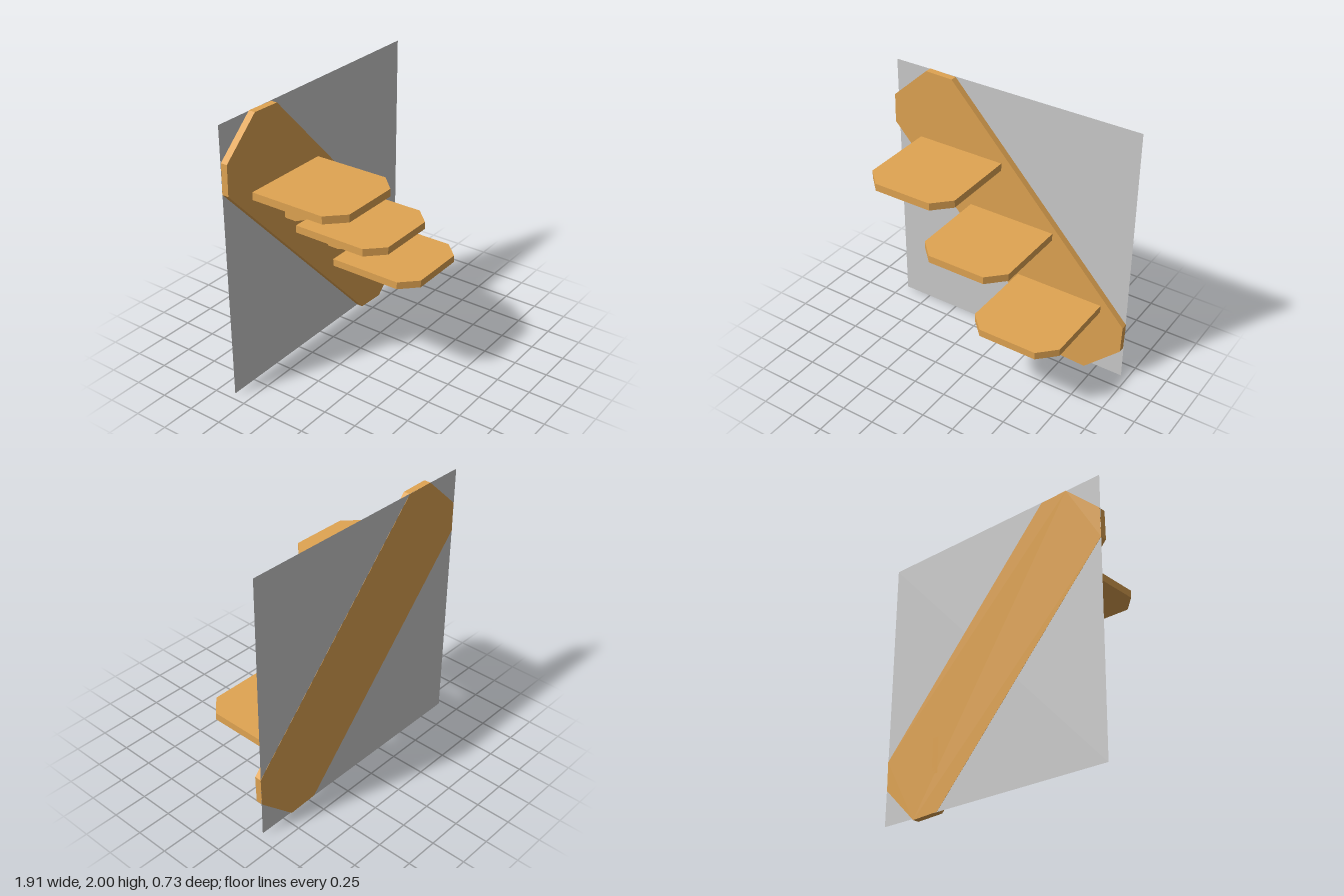
import * as THREE from 'three';

const wood = new THREE.MeshStandardMaterial({ color: 0xe0a452, flatShading: true });
const grey = new THREE.MeshStandardMaterial({ color: 0xcccccc, side: THREE.DoubleSide });

// Flat slab cut from an outline, extruded along +z
function slab(points, depth) {
  const shape = new THREE.Shape(points.map(([x, y]) => new THREE.Vector2(x, y)));
  return new THREE.ExtrudeGeometry(shape, { depth, bevelEnabled: false });
}

function addMesh(parent, name, geometry, material, x = 0, y = 0, z = 0) {
  const mesh = new THREE.Mesh(geometry, material);
  mesh.name = name;
  mesh.position.set(x, y, z);
  parent.add(mesh);
}

export function createModel() {
  const model = new THREE.Group();
  model.name = 'wallShelf';
  const back = -0.365, front = -0.315;

  // Thin wall panel, level with the back of the board
  addMesh(model, 'wallPanel', new THREE.PlaneGeometry(1.91, 1.99), grey, -0.002, 1.003, back + 0.001);

  // Diagonal backboard with clipped ends
  const board = slab([
    [-0.957, 1.528], [0.452, 0.01], [0.675, 0], [0.95, 0.265],
    [0.955, 0.477], [-0.463, 1.995], [-0.675, 2], [-0.953, 1.745],
  ], front - back);
  addMesh(model, 'backboard', board, wood, 0, 0, back);

  // Shelf: x and z outline with clipped front corners, top at y = 0
  const shelf = slab([
    [-0.339, front], [0.339, front], [0.339, 0.243],
    [0.219, 0.365], [-0.219, 0.365], [-0.339, 0.243],
  ], 0.055).rotateX(Math.PI / 2);

  // Bracket: side profile in z and y, centred across its thickness
  const bracket = slab([
    [front, 0], [front, -0.26], [-0.225, -0.26], [0.22, -0.063], [0.22, 0],
  ], 0.053).translate(0, 0, -0.0265).rotateY(-Math.PI / 2);

  // Three steps: shelf centre, shelf top, bracket centre, bracket set-back
  const steps = [
    ['upper', -0.397, 1.472, -0.396, 0],
    ['middle', 0.026, 1.05, 0.064, 0],
    ['lower', 0.434, 0.597, 0.487, -0.05],
  ];
  for (const [level, x, top, bracketX, setBack] of steps) {
    addMesh(model, level + 'Shelf', shelf, wood, x, top, 0);
    addMesh(model, level + 'Bracket', bracket, wood, bracketX, top - 0.055, setBack);
  }
  return model;
}
